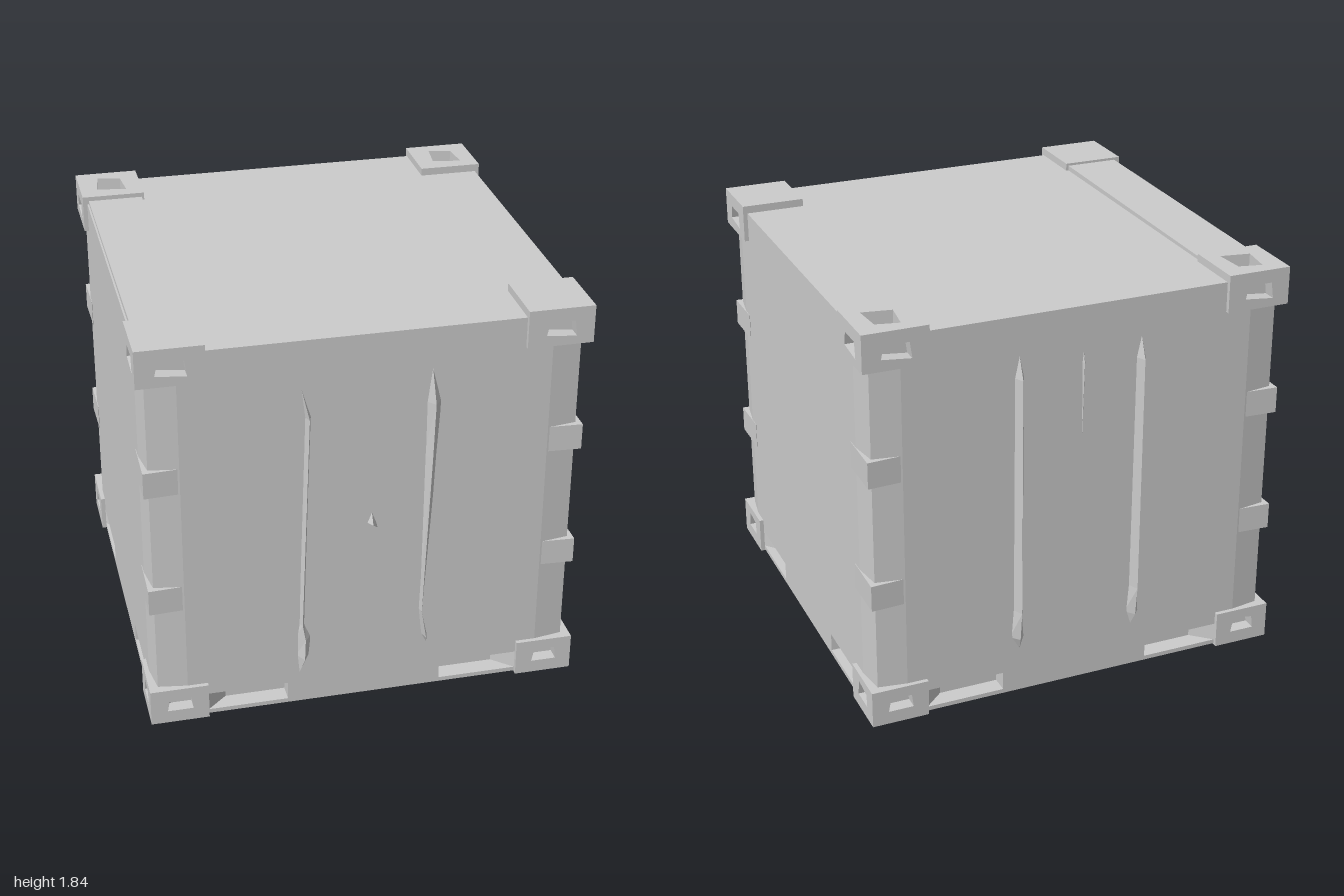
import * as THREE from 'three';

const grey = new THREE.MeshStandardMaterial({ color: 0xcccccc, side: THREE.DoubleSide });
const flat = new THREE.MeshStandardMaterial({ color: 0xcccccc, side: THREE.DoubleSide, flatShading: true });
const S = 0.95; // half width of the body

function add(parent, name, geometry, material = grey) {
  const mesh = new THREE.Mesh(geometry, material);
  mesh.name = name;
  parent.add(mesh);
  return mesh;
}

// Horizontal outline extruded from y0 to y1
function slab(points, y0, y1) {
  const shape = new THREE.Shape(points.map(([x, z]) => new THREE.Vector2(x, -z)));
  const g = new THREE.ExtrudeGeometry(shape, { depth: y1 - y0, bevelEnabled: false });
  return g.rotateX(-Math.PI / 2).translate(0, y0, 0);
}

// One side of the outline repeated on all four sides
function fourSides(side) {
  const turn = [([u, v]) => [u, v], ([u, v]) => [v, -u], ([u, v]) => [-u, -v], ([u, v]) => [-v, u]];
  return turn.flatMap((t) => side.map(t));
}

// Vertical ridge with a triangular section; stations are [y, xLeft, xRight, z]
function ridge(stations) {
  const pos = [], index = [];
  stations.forEach(([y, a, b, z], i) => {
    pos.push(a, y, 0.94, (a + b) / 2, y, z, b, y, 0.94);
    if (i === 0) return;
    const p = 3 * (i - 1), q = 3 * i;
    for (const k of [0, 1]) index.push(p + k, p + k + 1, q + k + 1, p + k, q + k + 1, q + k);
  });
  const g = new THREE.BufferGeometry();
  g.setAttribute('position', new THREE.Float32BufferAttribute(pos, 3));
  g.setIndex(index);
  const out = g.toNonIndexed();
  out.computeVertexNormals();
  return out;
}

// Face plate of a corner fitting, with a skewed lifting hole if wanted
function plate(w, h, t, hole) {
  const shape = new THREE.Shape([[-w, -h], [w, -h], [w, h], [-w, h]].map(([x, y]) => new THREE.Vector2(x / 2, y / 2)));
  if (hole) {
    const pts = [[-0.22, -0.2], [-0.16, 0.28], [0.2, 0.2], [0.24, -0.28]];
    shape.holes.push(new THREE.Path(pts.map(([x, y]) => new THREE.Vector2(x * w, y * h))));
  }
  return new THREE.ExtrudeGeometry(shape, { depth: t, bevelEnabled: false }).translate(0, 0, -t);
}

function cornerFitting(sx, sy, sz) {
  const group = new THREE.Group();
  group.name = 'cornerFitting';
  const w = sy > 0 ? 0.29 : 0.26, h = 0.17, t = 0.06;
  const core = add(group, 'fittingCore', new THREE.BoxGeometry(w - t, h - t, w - t));
  core.position.set(-sx * t / 2, -sy * t / 2, -sz * t / 2);
  const end = add(group, 'fittingEndPlate', plate(w, h, t, true));
  end.position.z = sz * w / 2;
  end.rotation.y = sz > 0 ? 0 : Math.PI;
  const side = add(group, 'fittingSidePlate', plate(w, h, t, true));
  side.position.x = sx * w / 2;
  side.rotation.y = sx * Math.PI / 2;
  const cap = add(group, 'fittingCapPlate', plate(w, w, t, sy < 0 || sz < 0));
  cap.position.y = sy * h / 2;
  cap.rotation.x = -sy * Math.PI / 2;
  group.position.set(sx * (0.97 - w / 2), sy > 0 ? 1.84 - h / 2 : h / 2, sz * (0.97 - w / 2));
  return group;
}

export function createModel() {
  const model = new THREE.Group();
  model.name = 'container';

  // Body in layers: floor, band with fork pockets, sill, walls, header
  const notched = (c) => fourSides([[-c, c], [-c, S], [c, S]]);
  const pockets = fourSides([
    [-0.72, 0.72], [-0.72, S], [-0.71, S], [-0.62, S - 0.08], [-0.35, S - 0.08], [-0.35, S],
    [0.35, S], [0.35, S - 0.08], [0.62, S - 0.08], [0.71, S], [0.72, S],
  ]);
  add(model, 'floor', slab(notched(0.72), 0.005, 0.025));
  add(model, 'forkPocketBand', slab(pockets, 0.025, 0.11));
  add(model, 'sill', slab(notched(0.72), 0.11, 0.17));
  add(model, 'walls', slab(fourSides([[-0.93, 0.93], [-0.8, S], [0.8, S]]), 0.17, 1.67));
  add(model, 'header', slab(notched(0.69), 1.67, 1.805));

  // Raised roof rail along the right edge, lower towards the back
  const rail = new THREE.BoxGeometry(0.25, 0.05, 1.62);
  const p = rail.attributes.position;
  for (let i = 0; i < p.count; i++) {
    if (p.getY(i) > 0) p.setY(i, p.getZ(i) > 0 ? 0.03 : 0.02);
  }
  rail.computeVertexNormals();
  add(model, 'roofRail', rail).position.set(-0.817, 1.8, 0.13);

  // Corner fittings and hinge blocks on the four posts
  for (const sx of [-1, 1]) {
    for (const sz of [-1, 1]) {
      for (const sy of [-1, 1]) model.add(cornerFitting(sx, sy, sz));
      for (const y of [0.57, 1.15]) {
        const outline = [[0.74, 0.945], [0.955, 0.957], [0.952, 0.74]].map(([x, z]) => [sx * x, sz * z]);
        add(model, 'hingeBlock', slab(outline, y, y + 0.12), flat);
      }
    }
  }

  // Door locking bars, front
  add(model, 'frontBarRight', ridge([
    [0.14, -0.3, -0.3, 0.94], [0.25, -0.31, -0.25, 0.99], [0.35, -0.31, -0.24, 0.985],
    [0.42, -0.3, -0.27, 0.97], [1.45, -0.27, -0.24, 0.985], [1.62, -0.29, -0.29, 0.94],
  ]), flat);
  add(model, 'frontBarLeft', ridge([
    [0.22, 0.29, 0.29, 0.94], [0.28, 0.26, 0.29, 0.985], [0.42, 0.245, 0.26, 0.98],
    [1.2, 0.25, 0.31, 0.985], [1.46, 0.25, 0.325, 0.985], [1.66, 0.275, 0.275, 0.94],
  ]), flat);

  // Door locking bars and centre seam, back (turned half round)
  const back = new THREE.Group();
  back.name = 'backDoor';
  back.rotation.y = Math.PI;
  for (const s of [-1, 1]) {
    add(back, 'backBar', ridge([
      [0.2, s * 0.27, s * 0.27, 0.94], [0.28, s * 0.28 - 0.035, s * 0.28 + 0.035, 0.98],
      [0.42, s * 0.28 - 0.025, s * 0.28 + 0.025, 0.995], [1.53, s * 0.28 - 0.025, s * 0.28 + 0.025, 0.99],
      [1.65, s * 0.28, s * 0.28, 0.94],
    ]), flat);
  }
  add(back, 'doorSeam', ridge([
    [0.85, 0.01, 0.01, 0.94], [1.55, 0, 0.025, 0.96], [1.65, 0.01, 0.01, 0.94],
  ]), flat);
  model.add(back);

  // Small door handle
  add(model, 'doorHandle', ridge([
    [0.86, 0.06, 0.06, 0.94], [0.9, 0, 0.05, 0.98], [0.965, 0.025, 0.025, 0.94],
  ]), flat);

  return model;
}
